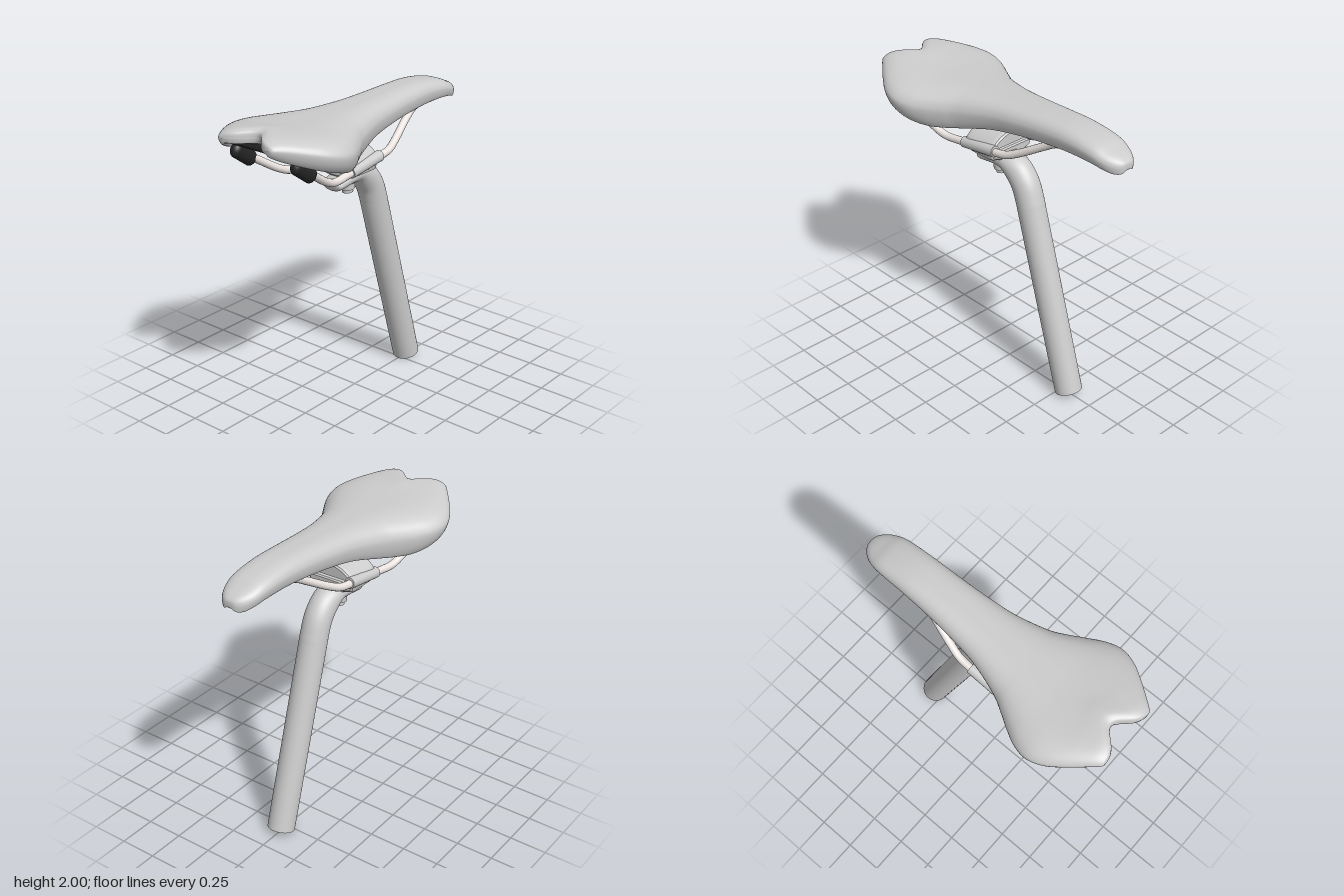
import * as THREE from 'three';
import { RoundedBoxGeometry } from 'three/addons/geometries/RoundedBoxGeometry.js';

const V = (x, y, z) => new THREE.Vector3(x, y, z);
const grey = new THREE.MeshStandardMaterial({ color: 0xcccccc });
const black = new THREE.MeshStandardMaterial({ color: 0x252525 });
const pale = new THREE.MeshStandardMaterial({ color: 0xeae3e0 });

// Skins a list of closed rings with smooth normals
function loft(rings) {
  const n = rings[0].length, pos = [], idx = [];
  rings.forEach(r => r.forEach(p => pos.push(p.x, p.y, p.z)));
  for (let i = 0; i < rings.length - 1; i++) {
    for (let j = 0; j < n; j++) {
      const a = i * n + j, b = a + n, c = i * n + (j + 1) % n, d = c + n;
      idx.push(a, b, c, b, d, c);
    }
  }
  const g = new THREE.BufferGeometry();
  g.setAttribute('position', new THREE.Float32BufferAttribute(pos, 3));
  g.setIndex(idx);
  g.computeVertexNormals();
  return g;
}

const spline = pts => new THREE.CatmullRomCurve3(pts, false, 'catmullrom', 0.5);

function rod(a, b, radius, sides = 32) {
  const g = new THREE.CylinderGeometry(radius, radius, a.distanceTo(b), sides);
  g.applyQuaternion(new THREE.Quaternion().setFromUnitVectors(V(0, 1, 0), b.clone().sub(a).normalize()));
  const m = a.clone().add(b).multiplyScalar(0.5);
  return g.translate(m.x, m.y, m.z);
}

function saddleGeometry() {
  // z, half width, top, skirt bottom, underside
  const rows = [
    [-0.972, 0.0, 1.85, 1.85, 1.85], [-0.965, 0.045, 1.88, 1.82, 1.83], [-0.93, 0.085, 1.905, 1.815, 1.835],
    [-0.87, 0.116, 1.93, 1.83, 1.85], [-0.78, 0.133, 1.962, 1.847, 1.865], [-0.6, 0.14, 1.987, 1.85, 1.875],
    [-0.4, 0.148, 1.986, 1.835, 1.88], [-0.2, 0.163, 1.978, 1.812, 1.88], [0, 0.19, 1.971, 1.78, 1.88],
    [0.2, 0.25, 1.968, 1.732, 1.88], [0.3, 0.302, 1.968, 1.715, 1.88], [0.4, 0.362, 1.969, 1.71, 1.88],
    [0.5, 0.413, 1.971, 1.728, 1.88], [0.6, 0.432, 1.977, 1.757, 1.885], [0.7, 0.405, 1.985, 1.788, 1.89],
    [0.8, 0.342, 1.995, 1.825, 1.895], [0.9, 0.265, 2.0, 1.868, 1.9], [0.95, 0.225, 1.99, 1.895, 1.912],
    [0.967, 0.205, 1.975, 1.91, 1.92], [0.972, 0.18, 1.943, 1.943, 1.943]];
  const a = spline(rows.map(r => V(r[0], r[1], r[2])));
  const b = spline(rows.map(r => V(r[3], r[4], 0)));
  // Half profile: x, height above or below the widest point, blend to the underside
  const half = spline([[0, 1, 0], [0.3, 0.99, 0], [0.55, 0.92, 0], [0.75, 0.78, 0], [0.9, 0.55, 0], [0.98, 0.27, 0],
    [1, 0, 0], [0.97, -0.5, 0], [0.91, -0.9, 0], [0.86, -1, 0], [0.81, -0.92, 0.1], [0.75, -0.6, 0.6],
    [0.66, -0.5, 1], [0.33, -0.5, 1], [0, -0.5, 1]].map(p => V(...p)));
  const N = 96, steps = 110, rings = [];
  for (let i = 0; i <= steps; i++) {
    const p = a.getPoint(i / steps), q = b.getPoint(i / steps);
    const z = p.x, w = Math.max(p.y, 0), top = p.z, low = q.x, under = q.y;
    const mid = low + (top - low) * 0.42;
    const ring = [];
    for (let j = 0; j < N; j++) {
      const u = 2 * j / N, h = half.getPoint(u <= 1 ? u : 2 - u);
      const x = (u <= 1 ? 1 : -1) * h.x * w;
      const skin = mid + h.y * (h.y > 0 ? top - mid : mid - low);
      const y = THREE.MathUtils.lerp(skin, under, THREE.MathUtils.clamp(h.z, 0, 1));
      // central notch in the tail
      const notch = 0.115 * Math.exp(-((x / 0.09) ** 2)) * THREE.MathUtils.smoothstep(z, 0.55, 0.97);
      ring.push(V(x, y, z - notch));
    }
    rings.push(ring);
  }
  return loft(rings);
}

function postHeadGeometry() {
  // y, z, half width, half thickness
  const st = [[1.25, -0.2, 0.09, 0.09], [1.3, -0.185, 0.09, 0.09], [1.4, -0.145, 0.09, 0.09], [1.475, -0.08, 0.09, 0.088],
    [1.52, 0, 0.09, 0.07], [1.515, 0.09, 0.086, 0.055], [1.495, 0.18, 0.08, 0.045], [1.488, 0.228, 0.07, 0.036],
    [1.485, 0.243, 0, 0]];
  const path = spline(st.map(s => V(0, s[0], s[1])));
  const size = spline(st.map(s => V(s[2], s[3], 0)));
  const rings = [], X = V(1, 0, 0);
  for (let i = 0; i <= 48; i++) {
    const c = path.getPoint(i / 48), r = size.getPoint(i / 48);
    const n = X.clone().cross(path.getTangent(i / 48));
    rings.push(Array.from({ length: 40 }, (_, j) => {
      const t = j / 40 * Math.PI * 2;
      return c.clone().addScaledVector(X, r.x * Math.cos(t)).addScaledVector(n, r.y * Math.sin(t));
    }));
  }
  return loft(rings);
}

// Clamp plate: an XY outline extruded along z with a bevel
function plate(shape, z0, z1) {
  const g = new THREE.ExtrudeGeometry(shape, {
    depth: z1 - z0 - 0.06, bevelEnabled: true, bevelSize: 0.015, bevelThickness: 0.03, bevelSegments: 2, curveSegments: 20 });
  return g.translate(0, 0, z0 + 0.03);
}

export function createModel() {
  const model = new THREE.Group();
  const add = (name, geometry, material = grey) => {
    const m = new THREE.Mesh(geometry, material);
    m.name = name;
    model.add(m);
    return m;
  };

  add('saddle', saddleGeometry());

  // Seat post and its forward-bent head
  add('seatPost', rod(V(0, 0.026, -0.562), V(0, 1.3, -0.185), 0.09, 40));
  add('postHead', postHeadGeometry());

  // Rail clamp
  const upper = new THREE.Shape();
  upper.moveTo(-0.16, 1.645);
  upper.quadraticCurveTo(-0.1, 1.715, 0, 1.72);
  upper.quadraticCurveTo(0.1, 1.715, 0.16, 1.645);
  upper.closePath();
  add('upperClamp', plate(upper, -0.03, 0.22));
  const lower = new THREE.Shape();
  lower.moveTo(-0.16, 1.61);
  lower.lineTo(-0.15, 1.58);
  lower.quadraticCurveTo(0, 1.52, 0.15, 1.58);
  lower.lineTo(0.16, 1.61);
  lower.closePath();
  add('lowerClamp', plate(lower, -0.02, 0.2));
  add('clampBolt', rod(V(0, 1.41, 0.07), V(0, 1.79, 0.11), 0.02, 16));
  add('boltNut', rod(V(0, 1.405, 0.07), V(0, 1.435, 0.073), 0.036, 24));
  add('boltWasher', rod(V(0, 1.43, 0.073), V(0, 1.47, 0.077), 0.05, 24));

  for (const s of [1, -1]) {
    const side = s > 0 ? 'left' : 'right';
    const rail = new THREE.CatmullRomCurve3([[0.235, 1.78, 0.75], [0.222, 1.725, 0.65], [0.19, 1.63, 0.49],
      [0.178, 1.598, 0.4], [0.165, 1.605, 0.25], [0.165, 1.642, -0.04], [0.16, 1.66, -0.14], [0.14, 1.7, -0.23],
      [0.1, 1.79, -0.39], [0.085, 1.838, -0.48], [0.075, 1.855, -0.58]].map(p => V(s * p[0], p[1], p[2])));
    add(side + 'Rail', new THREE.TubeGeometry(rail, 80, 0.025, 14), pale);
    add(side + 'RailGrip', rod(V(s * 0.163, 1.608, 0.235), V(s * 0.163, 1.646, -0.045), 0.036, 20));

    // Rear rail socket
    const socket = add(side + 'RailSocket', new THREE.CapsuleGeometry(0.04, 0.13, 8, 20), black);
    socket.position.set(s * 0.237, 1.777, 0.74);
    socket.rotation.x = 0.95;
    socket.scale.set(0.95, 1, 1.25);
  }

  // Dark base plates under the tail and the nose
  const tail = add('tailPlate', new RoundedBoxGeometry(0.5, 0.05, 0.22, 3, 0.02), black);
  tail.position.set(0, 1.85, 0.74);
  tail.rotation.x = -0.38;
  const nose = add('nosePlate', new RoundedBoxGeometry(0.2, 0.04, 0.36, 3, 0.015), black);
  nose.position.set(0, 1.852, -0.62);
  nose.rotation.x = 0.03;

  return model;
}
